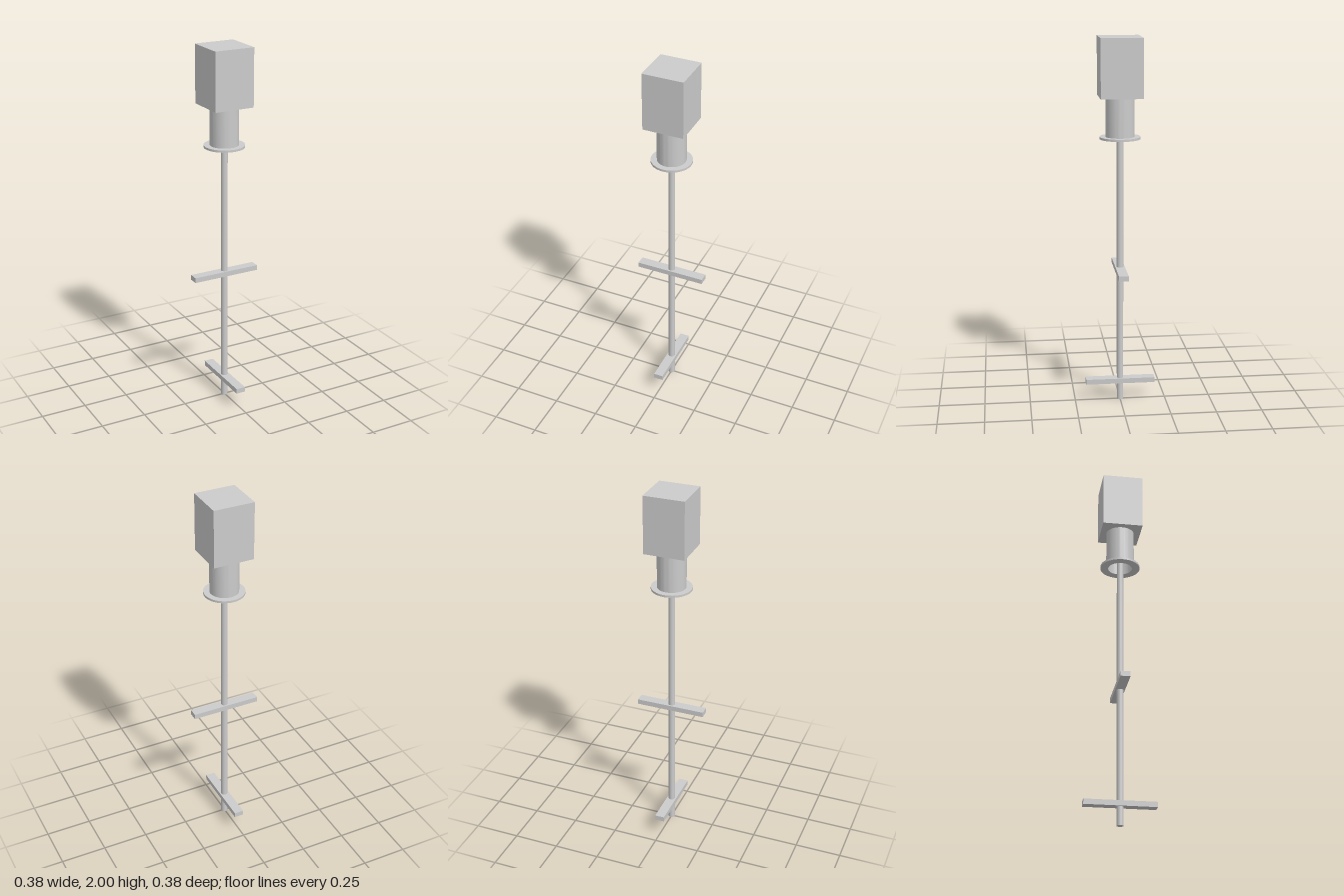
import * as THREE from 'three';
import { toCreasedNormals } from 'three/addons/utils/BufferGeometryUtils.js';

export function createModel() {
  const model = new THREE.Group();
  model.name = 'shaftMixer';
  const material = new THREE.MeshStandardMaterial({ color: 0xcccccc });

  const add = (name, geometry, y) => {
    const mesh = new THREE.Mesh(geometry, material);
    mesh.name = name;
    mesh.position.y = y;
    model.add(mesh);
    return mesh;
  };

  // Motor housing
  add('motorHousing', new THREE.BoxGeometry(0.222, 0.312, 0.222), 1.844);

  // Hollow collar with a thin flange at its lower end
  const profile = [
    [0.066, 1.466], [0.109, 1.466], [0.109, 1.478], [0.077, 1.478],
    [0.077, 1.688], [0.066, 1.688], [0.066, 1.466],
  ].map(([r, y]) => new THREE.Vector2(r, y));
  add('flangedCollar', toCreasedNormals(new THREE.LatheGeometry(profile, 64), 0.6), 0);

  // Drive shaft, running up through the collar to the housing
  add('driveShaft', new THREE.CylinderGeometry(0.018, 0.018, 1.69, 32), 0.845);

  // Two stirring blades, set at right angles
  const blade = new THREE.BoxGeometry(0.38, 0.028, 0.052);
  add('upperBlade', blade, 0.75);
  add('lowerBlade', blade, 0.112).rotation.y = Math.PI / 2;

  return model;
}
